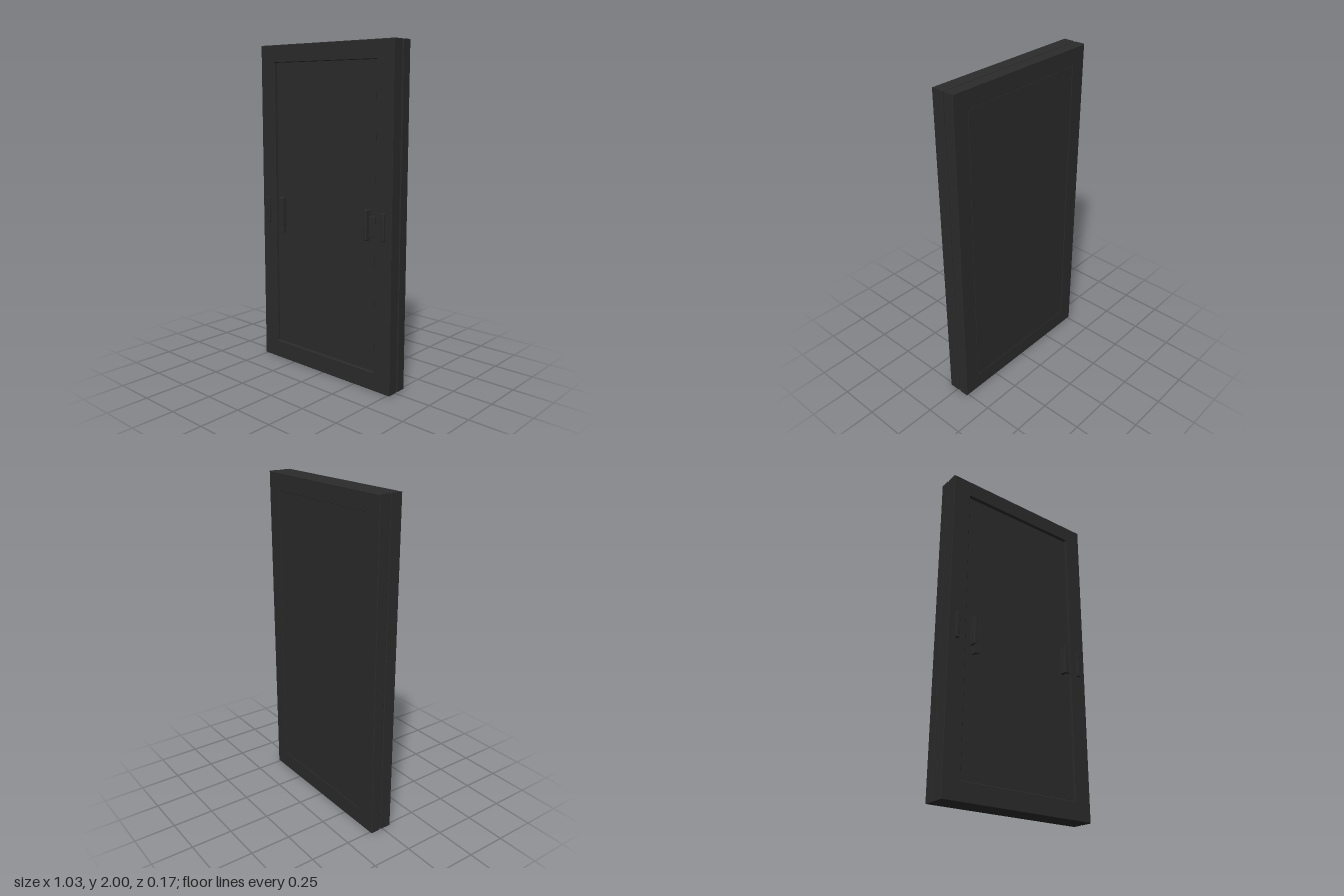
import * as THREE from 'three';
import { RoundedBoxGeometry } from 'three/addons/geometries/RoundedBoxGeometry.js';

const charcoal = new THREE.MeshStandardMaterial({ color: 0x2b2b2b });
charcoal.name = 'charcoal';

const HALF = 0.514, HEIGHT = 2, BEVEL = 0.003;
const OPEN = { x: 0.398, y0: 0.112, y1: 1.895 };

function rect(target, x0, y0, x1, y1) {
  target.moveTo(x0, y0);
  target.lineTo(x1, y0);
  target.lineTo(x1, y1);
  target.lineTo(x0, y1);
  target.closePath();
  return target;
}

function add(group, name, geometry, x = 0, y = 0, z = 0) {
  const mesh = new THREE.Mesh(geometry, charcoal);
  mesh.name = name;
  mesh.position.set(x, y, z);
  group.add(mesh);
  return mesh;
}

// Rectangular door frame with softened edges, from z0 to z1
function frame(group, name, z0, z1, openHalf) {
  const shape = rect(new THREE.Shape(), -HALF, 0, HALF, HEIGHT);
  shape.holes.push(rect(new THREE.Path(), -openHalf, OPEN.y0, openHalf, OPEN.y1));
  const geometry = new THREE.ExtrudeGeometry(shape, {
    depth: z1 - z0 - 2 * BEVEL, bevelEnabled: true, bevelSegments: 1,
    bevelThickness: BEVEL, bevelSize: BEVEL, bevelOffset: -BEVEL,
  });
  add(group, name, geometry, 0, 0, z0 + BEVEL);
}

// Softened block given by its extents
function block(group, name, [x0, x1], [y0, y1], [z0, z1], radius = 0.003) {
  const geometry = new RoundedBoxGeometry(x1 - x0, y1 - y0, z1 - z0, 2, radius);
  add(group, name, geometry, (x0 + x1) / 2, (y0 + y1) / 2, (z0 + z1) / 2);
}

// Sharp box given by its extents
function box(group, name, [x0, x1], [y0, y1], [z0, z1]) {
  const geometry = new THREE.BoxGeometry(x1 - x0, y1 - y0, z1 - z0);
  add(group, name, geometry, (x0 + x1) / 2, (y0 + y1) / 2, (z0 + z1) / 2);
}

export function createModel() {
  const door = new THREE.Group();
  door.name = 'door';

  // Two leaves separated by a narrow, shallow perimeter groove
  frame(door, 'frontFrame', -0.014, 0.06, OPEN.x);
  frame(door, 'backFrame', -0.085, -0.02, 0.412);
  box(door, 'core', [-0.504, 0.504], [0.01, 1.99], [-0.03, -0.005]);

  // Recessed front panels, each stepping back slightly from the one below
  const levels = [OPEN.y0, 1.037, 1.35, OPEN.y1];
  ['lowerPanel', 'middlePanel', 'upperPanel'].forEach((name, i) => {
    box(door, name, [-OPEN.x - 0.001, OPEN.x + 0.001],
      [levels[i], levels[i + 1]], [-0.006, 0.042 - i * 0.002]);
  });

  // Plain back panel, flush with its frame
  box(door, 'backPanel', [-0.411, 0.411], [OPEN.y0 + 0.001, OPEN.y1 - 0.001], [-0.0845, -0.029]);

  // Slim outer pulls on both stiles
  for (const side of [-1, 1]) {
    const x = side * 0.458;
    block(door, 'outerPull', [x - 0.013, x + 0.013], [0.9, 1.06], [0.055, 0.075], 0.005);
  }

  // Left inner handle: upright bar with a flared grip reaching lower
  block(door, 'leftHandle', [-0.352, -0.326], [0.89, 1.07], [0.035, 0.082], 0.006);
  const flare = new THREE.Shape([
    new THREE.Vector2(-0.342, -0.036), new THREE.Vector2(-0.328, -0.036),
    new THREE.Vector2(-0.328, -0.066), new THREE.Vector2(-0.31, -0.082),
    new THREE.Vector2(-0.342, -0.08),
  ]);
  const grip = add(door, 'leftGrip',
    new THREE.ExtrudeGeometry(flare, { depth: 0.225, bevelEnabled: false }), 0, 0.837, 0);
  grip.rotation.x = -Math.PI / 2;

  // Right inner handle with its latch plate
  block(door, 'rightHandle', [0.33, 0.352], [0.89, 1.07], [0.035, 0.083], 0.007);
  block(door, 'latchPlate', [0.345, 0.4], [0.91, 1.03], [0.035, 0.056]);

  return door;
}
